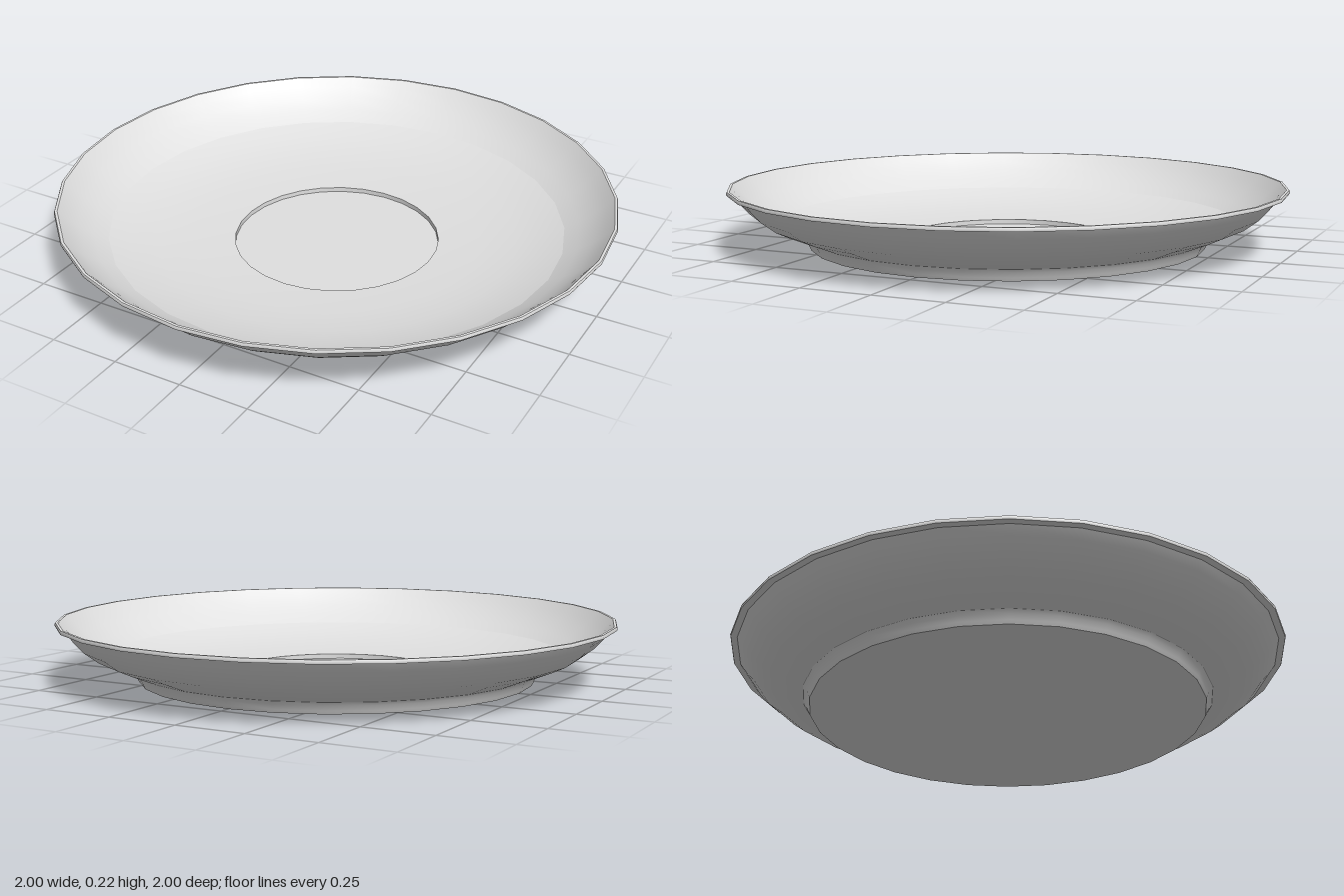
import * as THREE from 'three';

const SIDES = 28;

export function createModel() {
  const model = new THREE.Group();
  model.name = 'saucer';
  const porcelain = new THREE.MeshStandardMaterial({ color: 0xe0e0e0 });
  porcelain.name = 'porcelain';

  // Each band is a smooth lathe; the joins between bands stay sharp.
  // Profiles run from the underside centre, round the rim, to the well centre.
  const bands = {
    footBase: [[0, 0], [0.71, 0]],
    footRing: [[0.71, 0], [0.716, 0.012], [0.724, 0.03], [0.735, 0.043]],
    underside: [[0.735, 0.043], [0.82, 0.077], [0.87, 0.1], [0.92, 0.137], [0.955, 0.175], [0.975, 0.203]],
    rimUnderside: [[0.975, 0.203], [0.998, 0.205]],
    rimEdge: [[0.998, 0.205], [1, 0.211], [0.997, 0.218]],
    rimTop: [[0.997, 0.218], [0.988, 0.218]],
    innerWall: [[0.988, 0.218], [0.96, 0.188], [0.92, 0.152], [0.87, 0.117], [0.82, 0.09]],
    innerDish: [[0.82, 0.09], [0.75, 0.068], [0.65, 0.047], [0.52, 0.032], [0.37, 0.025]],
    wellWall: [[0.37, 0.025], [0.37, 0.008]],
    wellFloor: [[0.37, 0.008], [0, 0.008]],
  };

  for (const [name, profile] of Object.entries(bands)) {
    const points = profile.map(([r, y]) => new THREE.Vector2(r, y));
    const mesh = new THREE.Mesh(new THREE.LatheGeometry(points, SIDES), porcelain);
    mesh.name = name;
    model.add(mesh);
  }
  return model;
}
